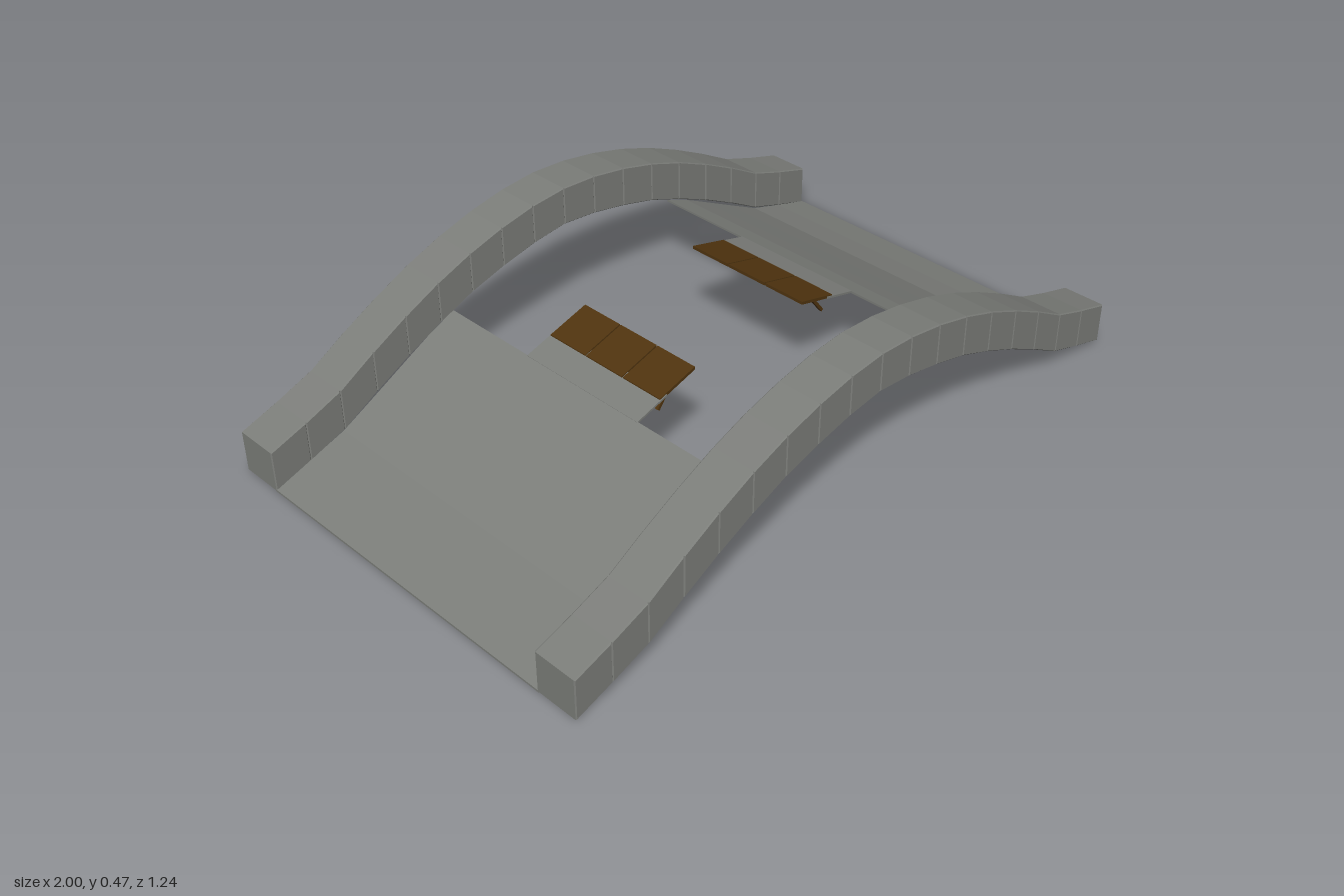
import * as THREE from 'three';

const stone = new THREE.MeshStandardMaterial({ color: 0x7c7e7a });
stone.name = 'grey stone';
const wood = new THREE.MeshStandardMaterial({ color: 0x50340f });
wood.name = 'dark brown wood';

// Heights of the parapet base at each block joint, from midspan to the end
const BASE = [0.355, 0.343, 0.32, 0.29, 0.247, 0.197, 0.14, 0.078, 0.04, 0.005];
const TOP = [0.468, 0.46, 0.44, 0.41, 0.37, 0.32, 0.263, 0.2, 0.16, 0.125];
const STEP = 1 / 9;

// Extrudes an xy outline between z0 and z1, optionally with a small bevel
function slab(points, z0, z1, material, name, bevel = 0) {
  const shape = new THREE.Shape(points.map(([x, y]) => new THREE.Vector2(x, y)));
  const geometry = new THREE.ExtrudeGeometry(shape, {
    depth: z1 - z0 - 2 * bevel,
    bevelEnabled: bevel > 0,
    bevelSize: bevel,
    bevelThickness: bevel,
    bevelOffset: -bevel,
    bevelSegments: 1,
  });
  geometry.translate(0, 0, z0 + bevel);
  const mesh = new THREE.Mesh(geometry, material);
  mesh.name = name;
  return mesh;
}

// Thin sloping sheet following a line of [x, y] points
function sheet(line, thickness, z0, z1, material, name) {
  const under = line.map(([x, y]) => [x, y - thickness]).reverse();
  return slab([...line, ...under], z0, z1, material, name);
}

// One arched wall of eighteen bevelled blocks
function parapet(z0, z1, name) {
  const wall = new THREE.Group();
  wall.name = name;
  for (let i = -9; i < 9; i++) {
    const a = Math.abs(i), b = Math.abs(i + 1);
    const x0 = i * STEP, x1 = (i + 1) * STEP;
    wall.add(slab([[x0, BASE[a]], [x1, BASE[b]], [x1, TOP[b]], [x0, TOP[a]]],
      z0, z1, stone, 'parapetBlock', 0.003));
  }
  return wall;
}

// Half of the broken roadway; side is +1 or -1 along x
function roadHalf(side) {
  const half = new THREE.Group();
  half.name = side > 0 ? 'leftRoad' : 'rightRoad';
  const at = (pts) => pts.map(([x, y]) => [side * x, y]);

  // Curved stone deck and the narrow tongue at its broken edge
  half.add(sheet(at([[1, 0.008], [0.89, 0.038], [0.78, 0.073], [0.667, 0.131],
    [0.556, 0.189], [0.48, 0.228], [0.4, 0.262]]), 0.006, -0.495, 0.495, stone, 'deck'));
  half.add(sheet(at([[0.402, 0.262], [0.3, 0.291]]), 0.006, -0.2, 0.2, stone, 'deckTongue'));

  // Three planks with two slanted struts beneath each
  for (let i = -1; i <= 1; i++) {
    const z = i * 0.133;
    half.add(sheet(at([[0.322, 0.288], [0.2, 0.322]]), 0.009, z - 0.0645, z + 0.0645, wood, 'plank'));
    for (const dz of [-0.04, 0.04]) {
      half.add(slab(at([[0.311, 0.238], [0.304, 0.233], [0.256, 0.296], [0.264, 0.3]]),
        z + dz - 0.005, z + dz + 0.005, wood, 'strut'));
    }
  }
  return half;
}

export function createModel() {
  const bridge = new THREE.Group();
  bridge.name = 'brokenArchBridge';
  bridge.add(parapet(0.49, 0.618, 'frontParapet'), parapet(-0.618, -0.49, 'backParapet'));
  bridge.add(roadHalf(1), roadHalf(-1));
  return bridge;
}
